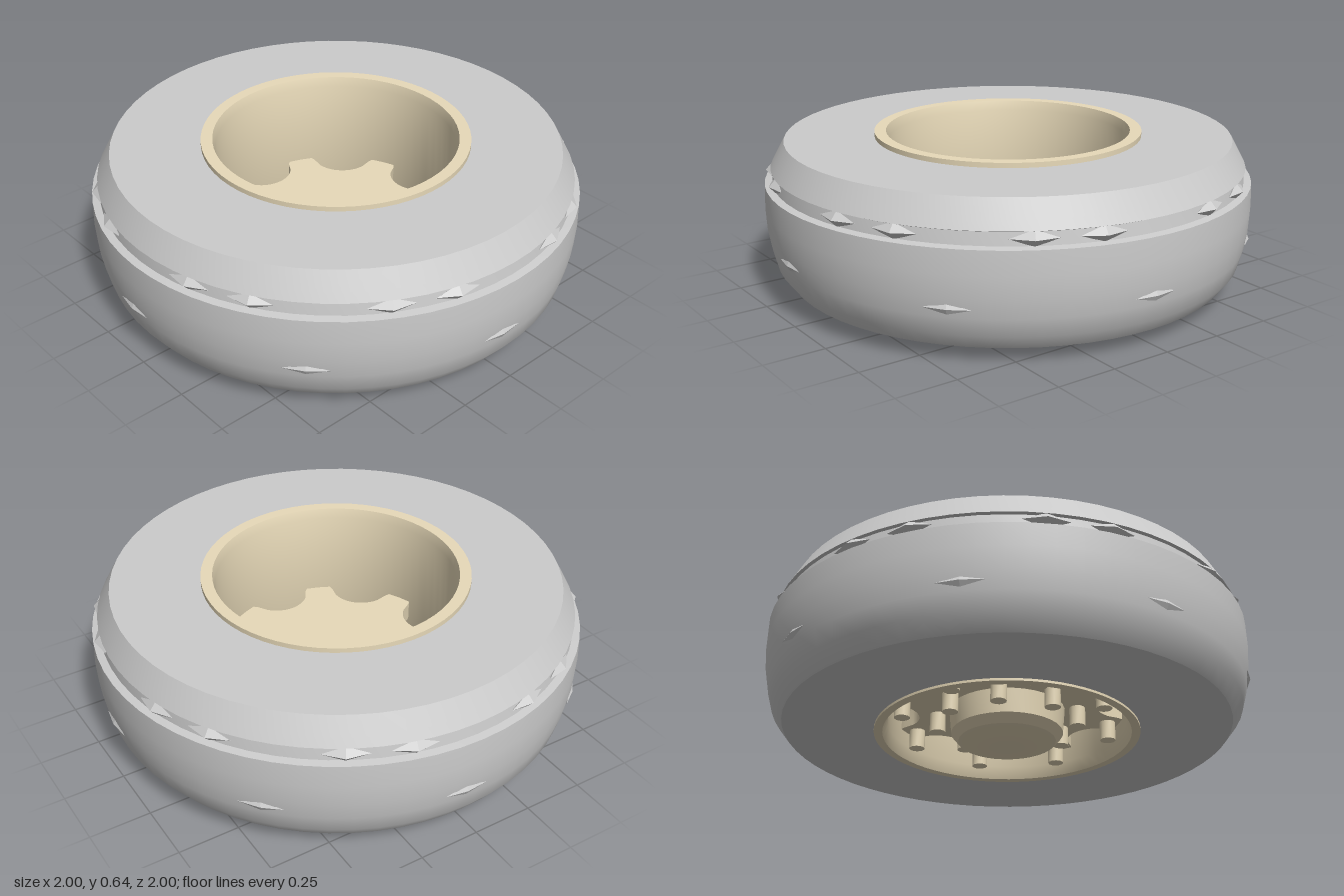
import * as THREE from 'three';
import { toCreasedNormals } from 'three/addons/utils/BufferGeometryUtils.js';

const grey = new THREE.MeshStandardMaterial({ color: 0xcccccc });
const tan = new THREE.MeshStandardMaterial({ color: 0xe8dab9 });

// Closed profile of [radius, height] pairs turned around the axle.
function turned(name, profile, material, segments = 64) {
  const points = profile.map(([r, y]) => new THREE.Vector2(r, y));
  const geometry = toCreasedNormals(new THREE.LatheGeometry(points, segments), 0.45);
  const mesh = new THREE.Mesh(geometry, material);
  mesh.name = name;
  return mesh;
}

// Copies of one geometry spaced around the axle at the given angles (degrees).
function ring(name, geometry, material, radius, y, angles) {
  const group = new THREE.Group();
  group.name = name;
  for (const degrees of angles) {
    const a = THREE.MathUtils.degToRad(degrees);
    const mesh = new THREE.Mesh(geometry, material);
    mesh.position.set(Math.sin(a) * radius, y, Math.cos(a) * radius);
    mesh.rotation.y = a;
    group.add(mesh);
  }
  return group;
}

// Round plate with eight circular bites taken out of its edge.
function scallopedPlate(radius, biteRadius, thickness) {
  const points = [];
  const steps = 192;
  for (let i = 0; i < steps; i++) {
    const a = (i / steps) * Math.PI * 2;
    const fromBite = a - Math.round(a / (Math.PI / 4)) * (Math.PI / 4);
    const root = biteRadius ** 2 - (radius * Math.sin(fromBite)) ** 2;
    const r = root > 0 ? radius * Math.cos(fromBite) - Math.sqrt(root) : radius;
    points.push(new THREE.Vector2(Math.cos(a) * r, Math.sin(a) * r));
  }
  const geometry = new THREE.ExtrudeGeometry(new THREE.Shape(points), { depth: thickness, bevelEnabled: false });
  geometry.rotateX(-Math.PI / 2);
  return toCreasedNormals(geometry, 0.5);
}

export function createModel() {
  const model = new THREE.Group();
  model.name = 'wheel';
  const eighths = [0, 1, 2, 3, 4, 5, 6, 7].map((i) => i * 45);

  // Tyre, with a step below the upper shoulder
  model.add(turned('tyre', [
    [0.54, 0.06], [0.915, 0.06], [0.96, 0.12], [0.98, 0.195], [0.993, 0.27],
    [0.998, 0.36], [0.995, 0.455], [0.965, 0.46], [0.957, 0.51], [0.969, 0.515],
    [0.95, 0.55], [0.912, 0.62], [0.54, 0.62], [0.54, 0.06],
  ], grey));

  // Diamond tread lugs in the step, in pairs, and shallow lugs lower down
  const diamond = new THREE.OctahedronGeometry(1).toNonIndexed();
  const upperLug = diamond.clone().scale(0.09, 0.032, 0.03);
  const lowerLug = diamond.clone().scale(0.09, 0.022, 0.012);
  upperLug.computeVertexNormals();
  lowerLug.computeVertexNormals();
  model.add(ring('upperTreadLugs', upperLug, grey, 0.962, 0.487, eighths.flatMap((d) => [d + 15, d + 30])));
  model.add(ring('lowerTreadLugs', lowerLug, grey, 0.985, 0.23, eighths.map((d) => d - 3)));

  // Rim barrel standing just proud of both tyre faces
  model.add(turned('rim', [
    [0.51, 0.05], [0.545, 0.05], [0.547, 0.64], [0.5, 0.64], [0.49, 0.6],
    [0.49, 0.1], [0.51, 0.05],
  ], tan));

  // Wheel disc with eight openings along the rim
  const disc = new THREE.Mesh(scallopedPlate(0.5, 0.13, 0.08), tan);
  disc.name = 'wheelDisc';
  disc.position.y = 0.16;
  model.add(disc);

  // Hub on the lower face
  model.add(turned('hub', [
    [0, 0], [0.13, 0], [0.2, 0.025], [0.23, 0.06], [0.24, 0.17], [0, 0.17],
  ], tan, 32));

  // Two circles of nuts: around the hub and between the openings
  const nut = toCreasedNormals(new THREE.CylinderGeometry(0.033, 0.033, 0.09, 12), 0.6);
  model.add(ring('hubNuts', nut, tan, 0.29, 0.125, eighths));
  model.add(ring('rimNuts', nut, tan, 0.44, 0.125, eighths.map((d) => d + 22.5)));

  return model;
}
